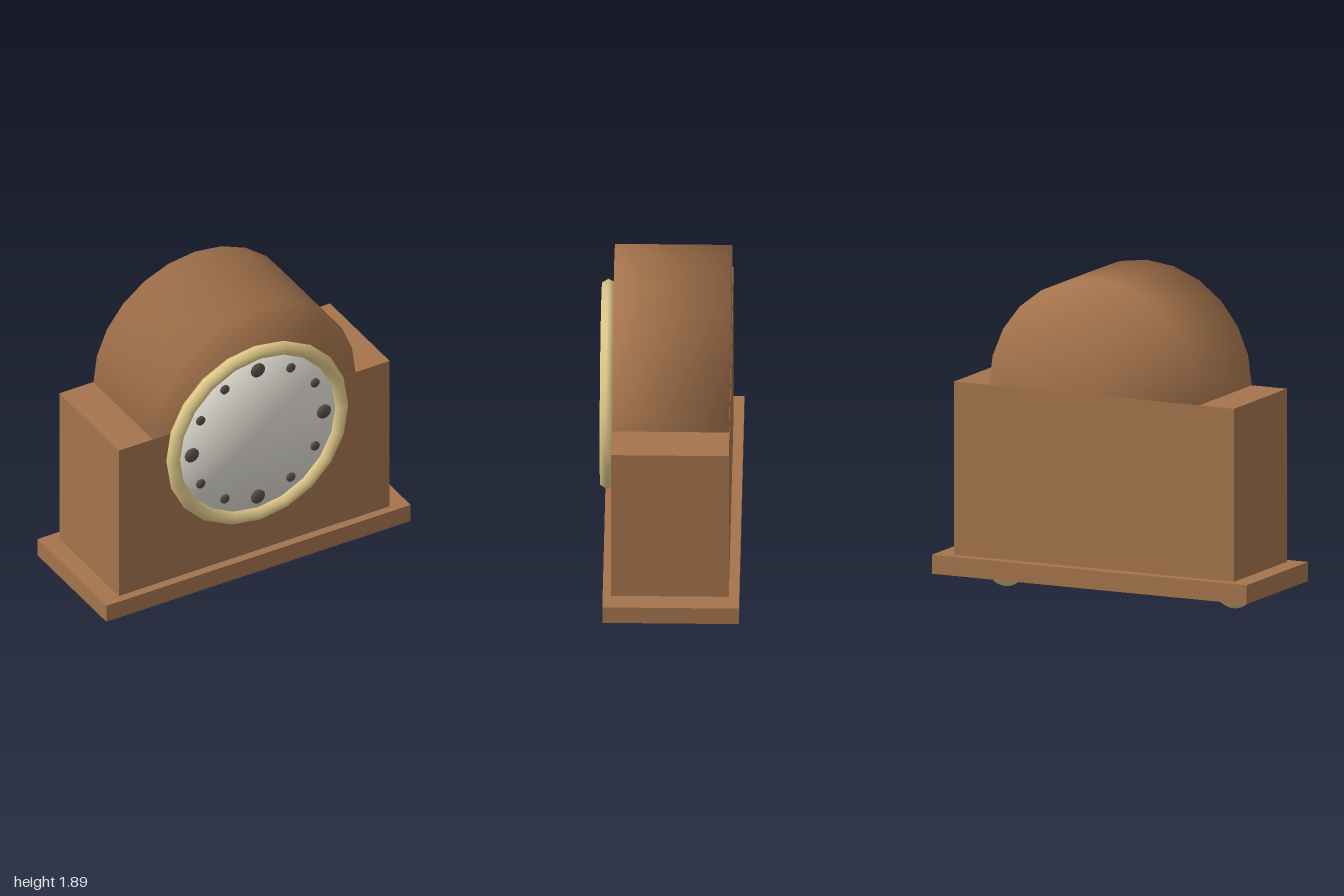
import * as THREE from 'three';

const wood = new THREE.MeshStandardMaterial({ name: 'wood', color: 0xa5744d });
const brass = new THREE.MeshStandardMaterial({ name: 'brass', color: 0xe0c98a });
const ivory = new THREE.MeshStandardMaterial({ name: 'ivory', color: 0xe6e2d8 });
const ebony = new THREE.MeshStandardMaterial({ name: 'ebony', color: 0x5c504a });

// Disc facing z whose normals lean outwards at the rim, for a softly rounded look
function softDisc(radius, depth, sides) {
  const geometry = new THREE.CylinderGeometry(radius, radius, depth, sides);
  const { position, normal } = geometry.attributes;
  const n = new THREE.Vector3();
  for (let i = 0; i < position.count; i++) {
    n.set(position.getX(i) / radius, Math.sign(position.getY(i)), position.getZ(i) / radius).normalize();
    normal.setXYZ(i, n.x, n.y, n.z);
  }
  return geometry.rotateX(Math.PI / 2);
}

export function createModel() {
  const clock = new THREE.Group();
  clock.name = 'mantelClock';

  function add(parent, name, geometry, material, x, y, z) {
    const mesh = new THREE.Mesh(geometry, material);
    mesh.name = name;
    mesh.position.set(x, y, z);
    parent.add(mesh);
    return mesh;
  }

  // Wooden case: plinth, body and round top
  add(clock, 'plinth', new THREE.BoxGeometry(2, 0.11, 0.775), wood, 0, 0.17, -0.0125);
  add(clock, 'body', new THREE.BoxGeometry(1.78, 1, 0.667), wood, 0, 0.725, -0.0075);
  add(clock, 'roundTop', softDisc(0.667, 0.663, 24), wood, 0, 1.225, -0.0075);

  // Pair of ball feet
  for (const side of [-1, 1]) {
    add(clock, side > 0 ? 'leftFoot' : 'rightFoot',
      new THREE.SphereGeometry(0.11, 16, 12), brass, side * 0.725, 0.11, 0);
  }

  // Dial and its bezel
  const face = new THREE.Group();
  face.name = 'clockFace';
  face.position.y = 1.06;
  clock.add(face);
  add(face, 'dial', softDisc(0.54, 0.05, 20), ivory, 0, 0, 0.338);
  const bezel = new THREE.TorusGeometry(0.553, 0.043, 6, 20);
  add(face, 'bezel', bezel.rotateZ(Math.PI / 2), brass, 0, 0, 0.36);

  // Hour studs, larger at the quarters
  for (let hour = 0; hour < 12; hour++) {
    const angle = (hour * Math.PI) / 6;
    const radius = hour % 3 === 0 ? 0.045 : 0.029;
    add(face, 'hourStud', softDisc(radius, 0.016, 12), ebony,
      Math.sin(angle) * 0.434, Math.cos(angle) * 0.434, 0.364);
  }

  return clock;
}
